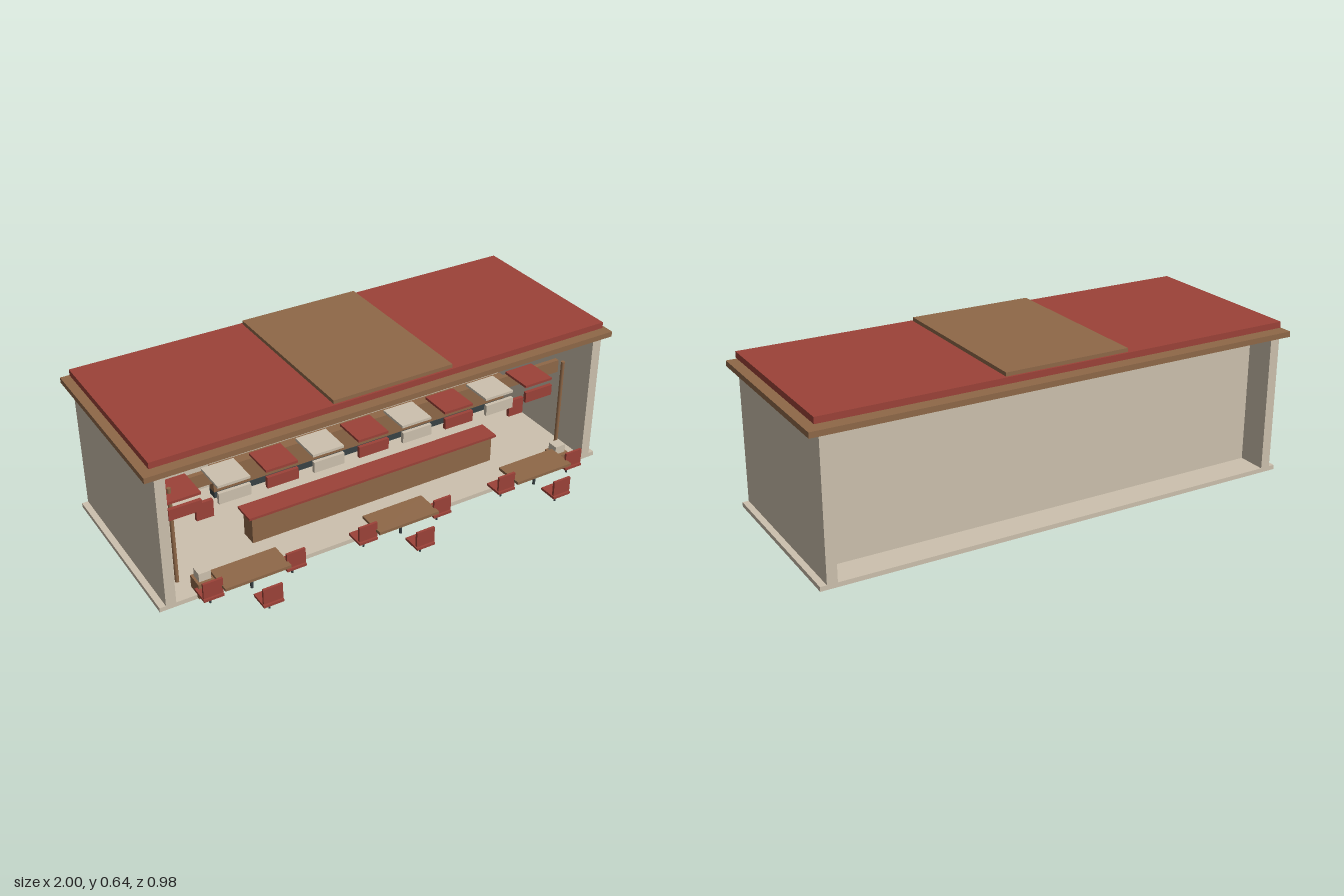
import * as THREE from 'three';

const mat = (color) => new THREE.MeshStandardMaterial({ color });

export function createModel() {
  const root = new THREE.Group();
  const red = mat(0x9c4238), cream = mat(0xcdc1ae), wood = mat(0x8f6848), dark = mat(0x384245);

  const group = (name, parent = root) => {
    const g = new THREE.Group();
    g.name = name;
    parent.add(g);
    return g;
  };
  // Box given by its extents on each axis
  const box = (name, material, [x0, x1], [y0, y1], [z0, z1], parent = root) => {
    const m = new THREE.Mesh(new THREE.BoxGeometry(x1 - x0, y1 - y0, z1 - z0), material);
    m.position.set((x0 + x1) / 2, (y0 + y1) / 2, (z0 + z1) / 2);
    m.name = name;
    parent.add(m);
    return m;
  };
  // Upright round post
  const post = (name, material, r, x, z, y0, y1, parent = root) => {
    const m = new THREE.Mesh(new THREE.CylinderGeometry(r, r, y1 - y0, 12), material);
    m.position.set(x, (y0 + y1) / 2, z);
    m.name = name;
    parent.add(m);
  };
  const around = (c, half) => [c - half, c + half];

  // Shell
  box('floor', cream, [-0.985, 0.985], [0, 0.018], [-0.475, 0.275]);
  box('backWall', cream, [-0.92, 0.92], [0.018, 0.565], [-0.355, -0.32]);
  for (const s of [-1, 1]) box('sideWall', cream, around(s * 0.94, 0.02), [0.018, 0.565], [-0.475, 0.275]);

  // Stacked roof with a narrow gap under the red slab
  box('roofTrim', wood, [-1, 1], [0.565, 0.587], [-0.49, 0.29]);
  box('roofSlab', red, [-0.97, 0.97], [0.6, 0.625], [-0.465, 0.265]);
  box('roofPanel', wood, [-0.255, 0.255], [0.625, 0.64], [-0.457, 0.257]);

  // Dark board under the roof with slim dividers
  box('upperBoard', dark, [-0.88, 0.88], [0.42, 0.555], [0.045, 0.065]);
  for (const x of [-0.59, 0, 0.59]) box('boardDivider', wood, around(x, 0.004), [0.42, 0.555], [0.065, 0.072]);

  // Hanging beam and cabinet
  box('beam', wood, [-0.92, 0.92], [0.325, 0.38], [0.06, 0.08]);
  box('cabinet', wood, [-0.655, 0.655], [0.275, 0.375], [0.03, 0.068]);
  box('cabinetBase', dark, [-0.655, 0.655], [0.25, 0.275], [0.03, 0.07]);

  // Alternating awnings, each a flat top and a hanging front
  for (let i = 0; i < 9; i++) {
    const x = -0.835 + i * 0.1927, m = i % 2 ? cream : red, g = group('awning');
    box('awningTop', m, around(x, 0.065), [0.4, 0.41], [0.085, 0.22], g);
    box('awningFront', m, around(x, 0.064), [0.335, 0.38], [0.21, 0.225], g);
  }

  // Service counter
  box('counterBody', wood, [-0.545, 0.545], [0.05, 0.163], [0.075, 0.145]);
  box('counterTop', red, [-0.56, 0.56], [0.163, 0.173], [0.06, 0.155]);

  // Paired posts, hanging panels and planters
  for (const s of [-1, 1]) {
    post('awningPost', wood, 0.008, s * 0.868, 0.167, 0.018, 0.43);
    box('hangingPanel', red, around(s * 0.705, 0.035), [0.19, 0.263], [0.075, 0.09]);
    box('planter', wood, around(s * 0.803, 0.034), [0.007, 0.07], [0.22, 0.29]);
    box('planterTop', cream, around(s * 0.803, 0.024), [0.07, 0.105], [0.23, 0.275]);
  }

  // Chair with seat, back on the +z side and one leg
  const chair = (x, z) => {
    const g = group('chair');
    box('seat', red, around(x, 0.04), [0.043, 0.053], around(z, 0.04), g);
    box('chairBack', red, around(x, 0.039), [0.057, 0.12], around(z + 0.031, 0.005), g);
    post('chairLeg', dark, 0.004, x, z, 0, 0.043, g);
  };

  // Three table sets
  for (const x of [-0.641, 0, 0.641]) {
    const g = group('table');
    box('tableTop', wood, around(x, 0.133), [0.078, 0.09], [0.255, 0.38], g);
    post('tableLeg', dark, 0.006, x, 0.318, 0, 0.078, g);
    for (const s of [-1, 1]) chair(x + s * 0.167, 0.318);
    chair(x, 0.454);
  }
  return root;
}
